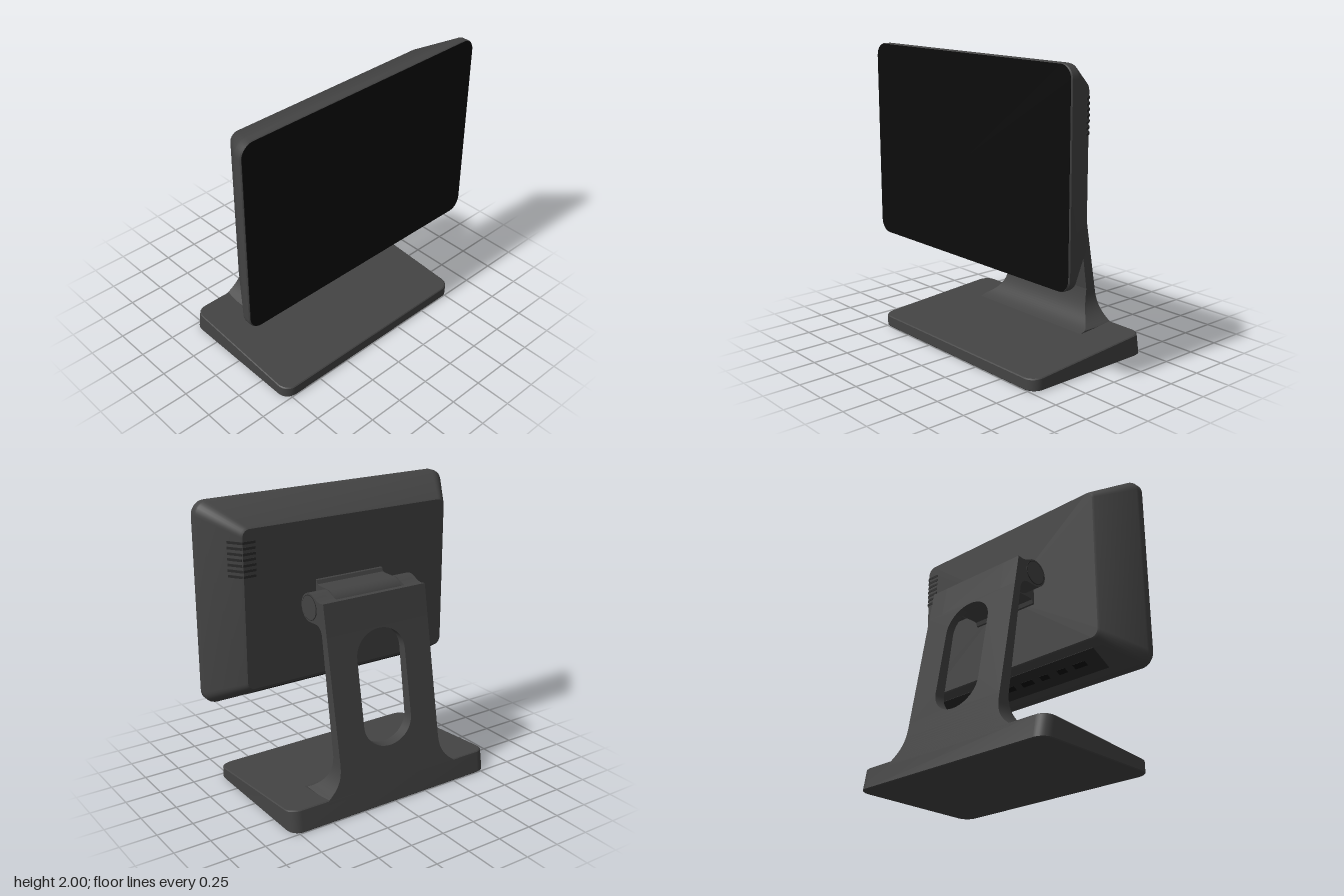
import * as THREE from 'three';
import { toCreasedNormals } from 'three/addons/utils/BufferGeometryUtils.js';

const body = new THREE.MeshStandardMaterial({ color: 0x444444 });
body.name = 'charcoal plastic';
const glass = new THREE.MeshStandardMaterial({ color: 0x0c0c0c });
glass.name = 'black glass';
const dark = new THREE.MeshStandardMaterial({ color: 0x2a2a2a });
dark.name = 'dark recess';

function add(parent, name, geometry, material, x = 0, y = 0, z = 0) {
  const mesh = new THREE.Mesh(geometry, material);
  mesh.name = name;
  mesh.position.set(x, y, z);
  parent.add(mesh);
  return mesh;
}

// Counter-clockwise rounded rectangle as [u, v] pairs
function roundRect(hw, hh, r, n = 7) {
  const pts = [];
  [[1, 1], [-1, 1], [-1, -1], [1, -1]].forEach(([sx, sy], q) => {
    for (let i = 0; i <= n; i++) {
      const a = (q + i / n) * Math.PI / 2;
      pts.push([sx * (hw - r) + r * Math.cos(a), sy * (hh - r) + r * Math.sin(a)]);
    }
  });
  return pts;
}

// Closed skin through rings of equal length, capped at both ends
function loft(rings, crease = 0.5) {
  const n = rings[0].length, pos = [], index = [];
  rings.forEach(r => r.forEach(p => pos.push(...p)));
  for (let i = 0; i < rings.length - 1; i++)
    for (let j = 0; j < n; j++) {
      const a = i * n + j, b = i * n + (j + 1) % n;
      index.push(a, b, b + n, a, b + n, a + n);
    }
  [[rings[0], 0], [rings[rings.length - 1], (rings.length - 1) * n]].forEach(([ring, start], end) => {
    const c = pos.length / 3;
    for (let k = 0; k < 3; k++) pos.push(ring.reduce((s, p) => s + p[k], 0) / n);
    for (let j = 0; j < n; j++) {
      const a = start + j, b = start + (j + 1) % n;
      index.push(...(end ? [c, a, b] : [c, b, a]));
    }
  });
  const g = new THREE.BufferGeometry();
  g.setAttribute('position', new THREE.Float32BufferAttribute(pos, 3));
  g.setIndex(index);
  return toCreasedNormals(g, crease);
}

// Side profile of [z, y] points, extruded from x0 to x1
function sideExtrude(points, x0, x1) {
  const shape = new THREE.Shape(points.map(([z, y]) => new THREE.Vector2(-z, y)));
  const g = new THREE.ExtrudeGeometry(shape, { depth: x1 - x0, bevelEnabled: false });
  g.rotateY(Math.PI / 2).translate(x0, 0, 0);
  return toCreasedNormals(g, 0.6);
}

// Arc around the hinge axis as [z, y] points, angles in degrees
const hinge = { z: -0.09, y: 1.325 };
function hingeArc(r, from, to, n = 20) {
  return Array.from({ length: n + 1 }, (_, i) => {
    const a = THREE.MathUtils.degToRad(from + (to - from) * i / n);
    return [hinge.z + r * Math.cos(a), hinge.y + r * Math.sin(a)];
  });
}

const backZ = y => -0.5 + 0.18 * y;
const frontZ = y => -0.35 + 0.151 * (y - 0.4);

function makeDisplay() {
  const g = new THREE.Group();
  g.name = 'display';
  // Housing: z, half width, bottom, top, corner radius
  const sections = [
    [0.05, 0.785, 0.798, 1.855, 0.05], [0.06, 0.797, 0.785, 1.865, 0.055],
    [0.31, 0.966, 0.65, 1.996, 0.085], [0.325, 0.97, 0.645, 2, 0.09],
    [0.367, 0.97, 0.645, 2, 0.09], [0.374, 0.965, 0.65, 1.995, 0.086],
  ];
  add(g, 'housing', loft(sections.map(([z, w, b, t, r]) =>
    roundRect(w, (t - b) / 2, r).map(([u, v]) => [u, v + (t + b) / 2, z]))), body);
  const glassRings = [0.37, 0.376].map(z =>
    roundRect(0.961, 0.6735, 0.083).map(([u, v]) => [u, v + 1.3225, z]));
  add(g, 'screen', loft(glassRings), glass);

  // Vent slots wrapping the edge on the left side
  for (let i = 0; i < 7; i++) {
    const y = 1.555 + i * 0.036;
    add(g, 'ventSlotBack', new THREE.BoxGeometry(0.09, 0.016, 0.006), dark, 0.742, y, 0.05);
    const slot = add(g, 'ventSlotSide', new THREE.BoxGeometry(0.1, 0.016, 0.006), dark, 0.822, y, 0.094);
    slot.rotation.y = -Math.atan2(0.25, 0.169);
  }

  // Connector bay on the sloping underside
  const bay = new THREE.Group();
  bay.name = 'connectorBay';
  bay.position.set(0, 0.7175, 0.185);
  bay.rotation.x = Math.atan2(-0.475, -0.88);
  g.add(bay);
  add(bay, 'bayFloor', new THREE.BoxGeometry(1.4, 0.008, 0.18), dark);
  for (let i = 0; i < 8; i++)
    add(bay, 'port', new THREE.BoxGeometry(i % 3 ? 0.07 : 0.1, 0.004, 0.04), glass, -0.53 + i * 0.15, 0.004, 0);
  return g;
}

function makeHinge() {
  const g = new THREE.Group();
  g.name = 'hinge';
  // Centre barrel reaching to the housing
  const barrel = [[0.06, 1.46], [0.04, 1.45], [0.03, 1.425], [0.0, 1.421],
    ...hingeArc(0.096, 90, 270), [0.0, 1.229], [0.03, 1.225], [0.04, 1.2], [0.06, 1.19]];
  add(g, 'barrel', sideExtrude(barrel, -0.262, 0.262), body);
  // Fork arms with pivot caps
  const arm = [[backZ(1.18), 1.18], [-0.25, 1.39], [-0.21, 1.385], [-0.185, 1.388], [-0.155, 1.4],
    ...hingeArc(0.096, 112, -90), [-0.17, 1.233], [-0.2, 1.225], [-0.22, 1.207], [frontZ(1.18), 1.18]];
  for (const s of [-1, 1]) {
    add(g, 'arm', sideExtrude(arm, s > 0 ? 0.27 : -0.4, s > 0 ? 0.4 : -0.27), body);
    const ring = add(g, 'pivotGroove', new THREE.CylinderGeometry(0.084, 0.084, 0.004, 40), dark, s * 0.4, hinge.y, hinge.z);
    const cap = add(g, 'pivotCap', new THREE.CylinderGeometry(0.079, 0.079, 0.008, 40), body, s * 0.4, hinge.y, hinge.z);
    ring.rotation.z = cap.rotation.z = Math.PI / 2;
  }
  return g;
}

function makeStand() {
  const g = new THREE.Group();
  g.name = 'stand';
  // Wedge base, low at the front, with a leaning back edge
  const topY = z => 0.08 + (0.5 - z) / 0.98 * 0.07;
  const baseRing = (inset, height) => roundRect(0.8 - inset, 0.5 - inset, 0.08).map(([u, v]) => {
    const y = height(-v);
    return [u, y, -v + (v > 0 ? 0.18 * y * v / 0.5 : 0)];
  });
  add(g, 'base', loft([baseRing(0.006, () => 0), baseRing(0, () => 0.006),
    baseRing(0, z => topY(z) - 0.006), baseRing(0.006, topY)]), body);

  // Flared foot blending the neck into the base
  const rings = [];
  const curve = new THREE.QuadraticBezierCurve(
    new THREE.Vector2(-0.13, 0.122), new THREE.Vector2(-0.335, 0.135), new THREE.Vector2(-0.353, 0.38));
  for (let i = 0; i <= 20; i++) {
    const { x: zf, y } = curve.getPoint(i / 20);
    const s = Math.min(1, Math.max(0, (y - 0.145) / 0.235));
    const w = 0.4 + 0.12 * (1 - s) ** 3, zb = backZ(y);
    rings.push([[w, y, zf], [w, y, zb], [-w, y, zb], [-w, y, zf]]);
  }
  add(g, 'foot', loft(rings, 0.6), body);

  // Leaning neck panel with a rounded opening
  const panel = new THREE.Shape();
  panel.moveTo(-0.4, 0.38).lineTo(0.4, 0.38).lineTo(0.4, 1.18).lineTo(-0.4, 1.18);
  const hole = new THREE.Path();
  hole.absellipse(0, 0.55, 0.19, 0.163, Math.PI, 2 * Math.PI);
  hole.absellipse(0, 1.0, 0.19, 0.168, 0, Math.PI);
  panel.holes.push(hole);
  const geo = new THREE.ExtrudeGeometry(panel, { depth: 1, bevelEnabled: false, curveSegments: 20 });
  const p = geo.attributes.position;
  for (let i = 0; i < p.count; i++) {
    const y = p.getY(i);
    p.setZ(i, p.getZ(i) > 0.5 ? frontZ(y) : backZ(y));
  }
  add(g, 'neck', toCreasedNormals(geo, 0.5), body);

  // Top of the neck behind the barrel
  add(g, 'neckTop', sideExtrude([[backZ(1.18), 1.18], [-0.25, 1.39], [-0.2, 1.385],
    [-0.2, 1.24], [-0.215, 1.21], [frontZ(1.18), 1.18]], -0.27, 0.27), body);
  return g;
}

export function createModel() {
  const model = new THREE.Group();
  model.name = 'desktopDisplay';
  model.add(makeDisplay(), makeHinge(), makeStand());
  return model;
}
